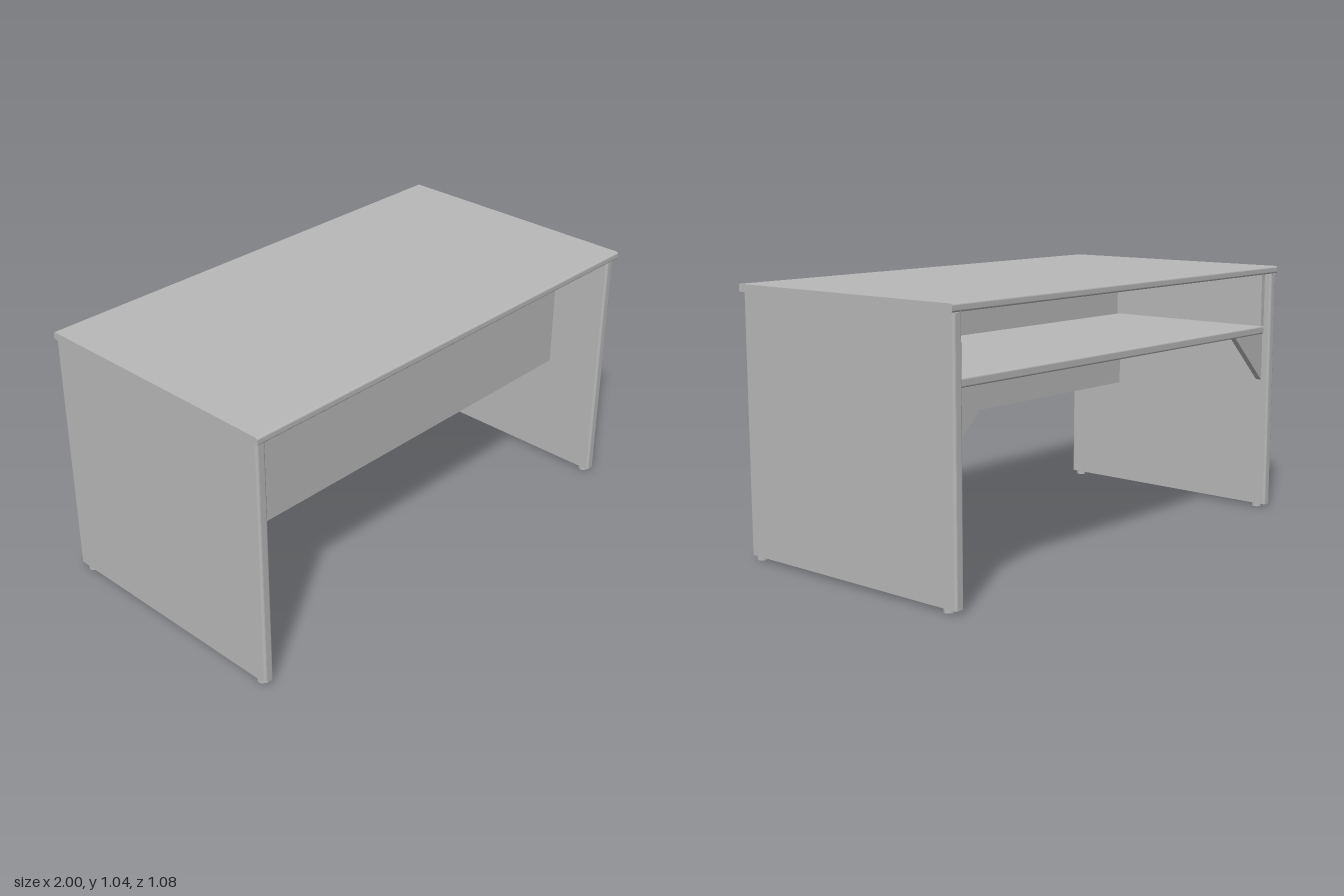
import * as THREE from 'three';

const laminate = new THREE.MeshStandardMaterial({ color: 0xb8b8b8 });
laminate.name = 'grey laminate';

function add(parent, name, geometry, x = 0, y = 0, z = 0) {
  const mesh = new THREE.Mesh(geometry, laminate);
  mesh.name = name;
  mesh.position.set(x, y, z);
  parent.add(mesh);
  return mesh;
}

// Board centred on the origin, given by its min/max extents
function board(parent, name, [x0, x1], [y0, y1], [z0, z1]) {
  return add(parent, name, new THREE.BoxGeometry(x1 - x0, y1 - y0, z1 - z0),
    (x0 + x1) / 2, (y0 + y1) / 2, (z0 + z1) / 2);
}

// Rectangle w x h with rounded corners, extruded by length along z and centred
function roundedBoard(w, h, length, r) {
  const s = new THREE.Shape();
  const a = w / 2 - r, b = h / 2 - r;
  s.absarc(a, b, r, 0, Math.PI / 2);
  s.absarc(-a, b, r, Math.PI / 2, Math.PI);
  s.absarc(-a, -b, r, Math.PI, Math.PI * 1.5);
  s.absarc(a, -b, r, Math.PI * 1.5, Math.PI * 2);
  const g = new THREE.ExtrudeGeometry(s, { depth: length, bevelEnabled: false, curveSegments: 4 });
  return g.translate(0, 0, -length / 2);
}

export function createModel() {
  const desk = new THREE.Group();
  desk.name = 'desk';

  // Worktop with softened front and back edges
  add(desk, 'worktop', roundedBoard(1.08, 0.03, 2, 0.008).rotateY(Math.PI / 2), 0, 1.03, 0);

  // Modesty panel and the shelf behind it
  board(desk, 'modestyPanel', [-0.952, 0.952], [0.47, 1.015], [0.25, 0.28]);
  add(desk, 'shelf', roundedBoard(0.76, 0.035, 1.904, 0.008).rotateY(Math.PI / 2), 0, 0.775, -0.13);

  for (const side of [-1, 1]) {
    const end = new THREE.Group();
    end.name = side > 0 ? 'leftEnd' : 'rightEnd';
    desk.add(end);

    // Full-height side panel with rounded vertical edges
    add(end, 'sidePanel', roundedBoard(0.04, 1.065, 1, 0.01).rotateX(Math.PI / 2),
      side * 0.972, 0.515, -0.0075);

    // Cheek closing the shelf compartment
    board(end, 'shelfCheek', side > 0 ? [0.93, 0.952] : [-0.952, -0.93], [0.792, 1.015], [-0.51, 0.25]);

    // Triangular gusset under the back edge of the shelf
    const tri = new THREE.Shape([[0.952, 0.758], [0.742, 0.758], [0.952, 0.56]]
      .map(([x, y]) => new THREE.Vector2(side * x, y)));
    add(end, 'gusset', new THREE.ExtrudeGeometry(tri, { depth: 0.025, bevelEnabled: false }), 0, 0, -0.505);

    // Feet
    for (const z of [-0.488, 0.488])
      add(end, 'foot', new THREE.CylinderGeometry(0.02, 0.02, 0.016, 16), side * 0.972, 0.008, z);
  }
  return desk;
}
